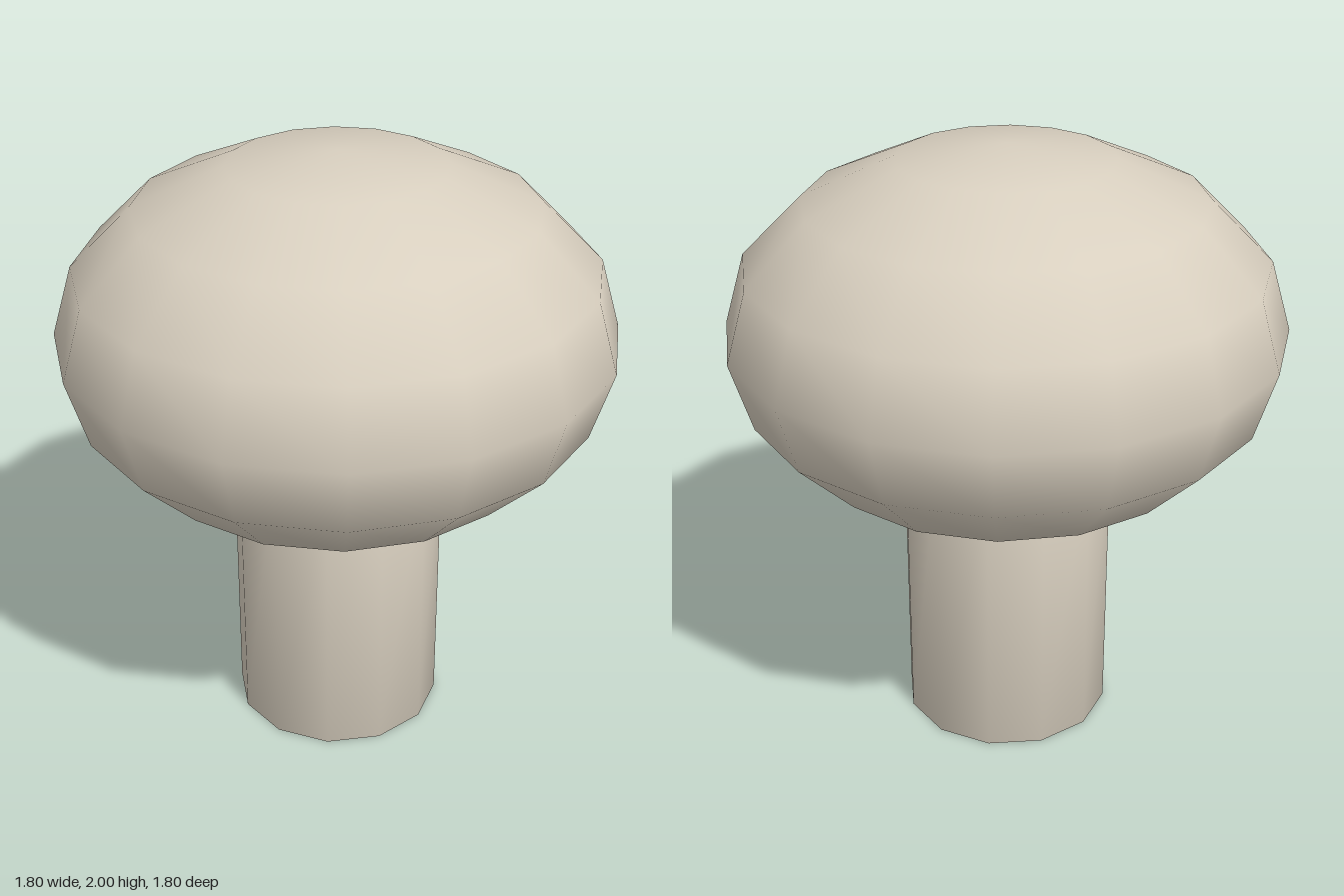
import * as THREE from 'three';
import { mergeVertices } from 'three/addons/utils/BufferGeometryUtils.js';

// Weld a geometry so that its shading is smooth across every edge
function smooth(geometry) {
  geometry.deleteAttribute('normal');
  geometry.deleteAttribute('uv');
  const welded = mergeVertices(geometry, 1e-4);
  welded.computeVertexNormals();
  return welded;
}

export function createModel() {
  const group = new THREE.Group();
  const cream = new THREE.MeshStandardMaterial({ color: 0xd8cfbf });
  cream.name = 'cream';

  // Stem: twelve-sided post whose top is sunk into the cap
  const stemTop = 1.0;
  const stem = new THREE.Mesh(
    smooth(new THREE.CylinderGeometry(0.348, 0.348, stemTop, 12)), cream);
  stem.name = 'stem';
  stem.position.y = stemTop / 2;
  group.add(stem);

  // Cap: flattened low-poly ball
  const cap = new THREE.Mesh(
    smooth(new THREE.SphereGeometry(1, 16, 8).scale(0.9, 0.6, 0.9)), cream);
  cap.name = 'cap';
  cap.position.y = 1.4;
  group.add(cap);

  return group;
}
